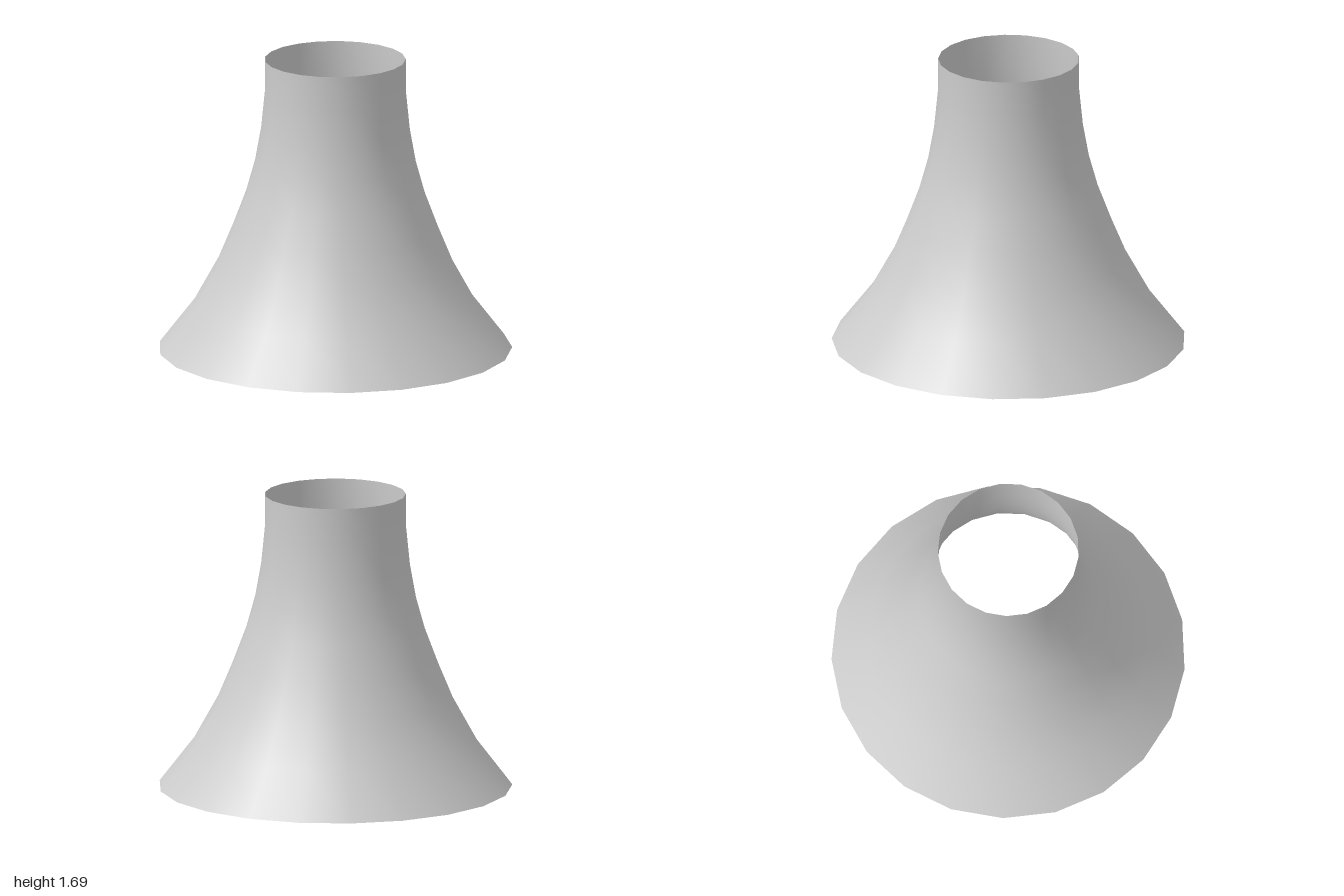
import * as THREE from 'three';

export function createModel() {
  const model = new THREE.Group();

  // Flared profile from the wide foot to the straight neck: radius, height
  const profile = [
    [1.003, 0], [0.803, 0.26], [0.665, 0.51], [0.582, 0.71], [0.507, 0.91],
    [0.457, 1.09], [0.423, 1.28], [0.402, 1.49], [0.4, 1.69],
  ].map(([r, y]) => new THREE.Vector2(r, y));

  // Open 21-sided shell with one corner pointing straight back
  const shell = new THREE.Mesh(
    new THREE.LatheGeometry(profile, 21, Math.PI),
    new THREE.MeshStandardMaterial({ color: 0xcccccc, side: THREE.DoubleSide }),
  );
  shell.name = 'flaredShell';
  shell.position.z = 0.006; // centres the odd-sided ring
  model.add(shell);

  return model;
}
